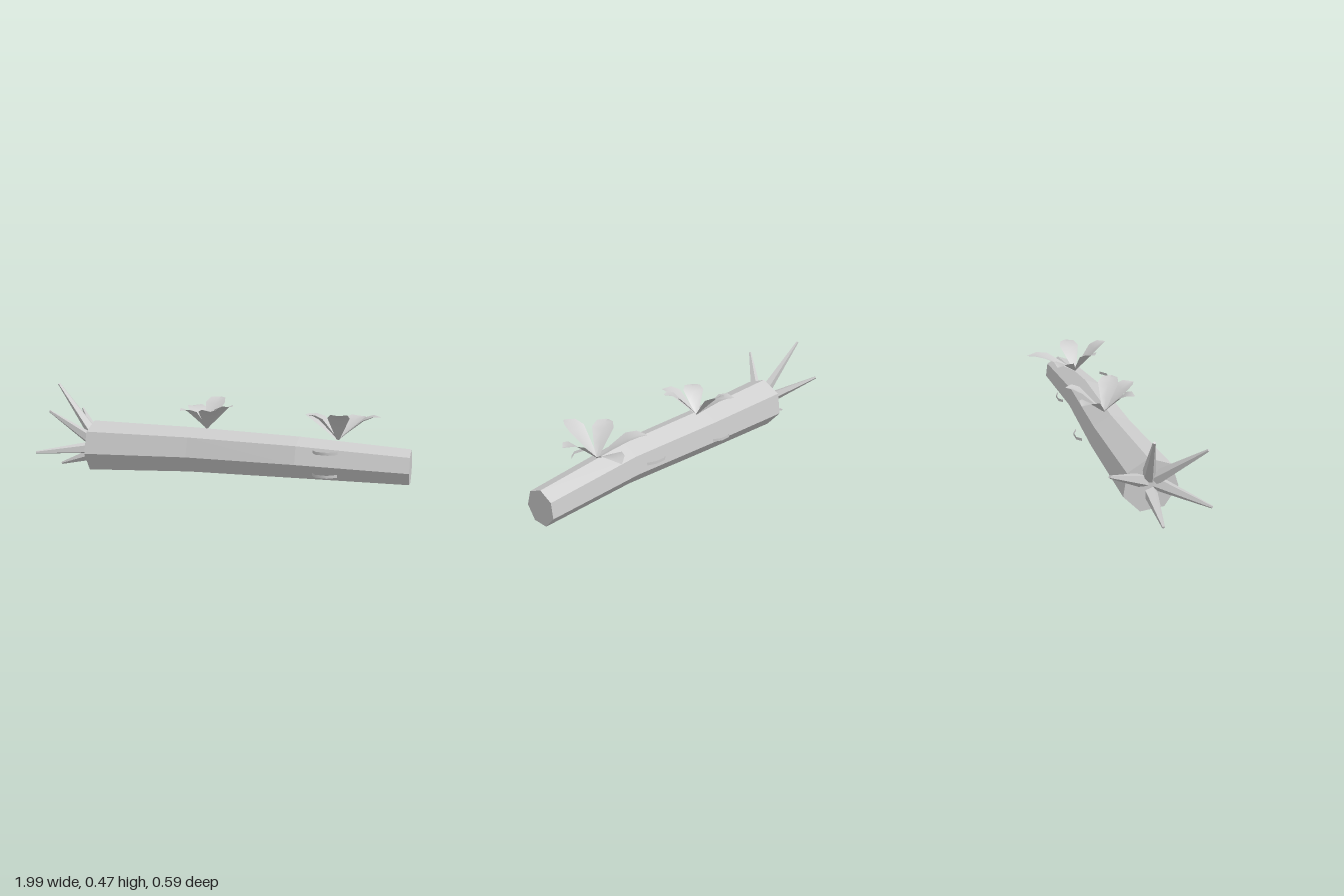
import * as THREE from 'three';

const bark = new THREE.MeshStandardMaterial({ color: 0xcccccc, flatShading: true });
bark.name = 'paleGrey';
const leaf = bark.clone();
leaf.name = 'paleGreyThin';
leaf.flatShading = false;
leaf.side = THREE.DoubleSide;

function meshFrom(name, positions, index, material) {
  const g = new THREE.BufferGeometry();
  g.setAttribute('position', new THREE.Float32BufferAttribute(positions, 3));
  g.setIndex(index);
  g.computeVertexNormals();
  const m = new THREE.Mesh(g, material);
  m.name = name;
  return m;
}

// Seven-sided bent trunk, lofted through [x, y, z, radius, end tilt]
function makeLog() {
  const sides = 7, p = [], idx = [];
  const rings = [
    [-0.745, 0.14, 0.065, 0.141, 0.06],
    [-0.17, 0.145, 0.022, 0.124, 0.03],
    [0.42, 0.14, 0.01, 0.112, 0.03],
    [0.993, 0.117, -0.047, 0.094, 0.05],
  ];
  for (const [x, y, z, r, tilt] of rings)
    for (let k = 0; k < sides; k++) {
      const a = THREE.MathUtils.degToRad(-8) + (k / sides) * Math.PI * 2;
      p.push(x + tilt * r * Math.cos(a), y + r * Math.sin(a), z + r * Math.cos(a));
    }
  const last = (rings.length - 1) * sides;
  for (let k = 0; k < sides; k++) {
    const n = (k + 1) % sides;
    for (let o = 0; o < last; o += sides)
      idx.push(o + k, o + sides + k, o + n, o + n, o + sides + k, o + sides + n);
  }
  for (let k = 1; k < sides - 1; k++)
    idx.push(0, k, k + 1, last, last + k + 1, last + k);
  return meshFrom('log', p, idx, bark);
}

// Blunt tapering root spike from the log's end to its tip
function makeRoot(tip) {
  const end = new THREE.Vector3(...tip);
  const out = new THREE.Vector3(0, tip[1] - 0.14, tip[2] - 0.065).normalize();
  const start = new THREE.Vector3(-0.73, 0.14, 0.065).addScaledVector(out, 0.04);
  const dir = end.clone().sub(start);
  const m = new THREE.Mesh(new THREE.CylinderGeometry(0.007, 0.036, dir.length(), 5), bark);
  m.position.copy(start).addScaledVector(dir, 0.5);
  m.quaternion.setFromUnitVectors(new THREE.Vector3(0, 1, 0), dir.normalize());
  m.name = 'root';
  return m;
}

// Pointed, arching, slightly cupped petal
function makePetal(base, tip) {
  const a = new THREE.Vector3(...base), b = new THREE.Vector3(...tip);
  const side = new THREE.Vector3(b.z - a.z, 0, a.x - b.x).normalize();
  const rows = [[0, 0.008, 0], [0.3, 0.032, 0.015], [0.6, 0.056, 0.028], [0.82, 0.042, 0.02], [1, 0.004, 0]];
  const p = [], idx = [];
  rows.forEach(([t, w, arch], i) => {
    for (let j = -1; j <= 1; j++) {
      const v = a.clone().lerp(b, t).addScaledVector(side, j * w);
      v.y += arch + Math.abs(j) * w * 0.2;
      p.push(v.x, v.y, v.z);
    }
    if (i < rows.length - 1)
      for (let j = 0; j < 2; j++) {
        const o = i * 3 + j;
        idx.push(o, o + 3, o + 1, o + 1, o + 3, o + 4);
      }
  });
  return meshFrom('petal', p, idx, leaf);
}

function makePlant(name, base, tips) {
  const g = new THREE.Group();
  g.name = name;
  for (const t of tips) g.add(makePetal(base, t));
  return g;
}

// Thin upright strip bent into an arc beside the log
function makeBracket(x, y, z, depth) {
  const path = [[-0.065, 0], [-0.04, 0.9], [0.02, 1], [0.065, 0.2]];
  const p = [], idx = [];
  path.forEach(([dx, d], i) => {
    p.push(x + dx, y - 0.0075, z + d * depth, x + dx, y + 0.0075, z + d * depth);
    if (i < path.length - 1) {
      const o = i * 2;
      idx.push(o, o + 2, o + 1, o + 1, o + 2, o + 3);
    }
  });
  return meshFrom('bracket', p, idx, leaf);
}

export function createModel() {
  const model = new THREE.Group();
  model.name = 'floweringLog';
  model.add(makeLog());

  const roots = new THREE.Group();
  roots.name = 'roots';
  for (const tip of [
    [-0.99, 0.472, 0.005], [-0.89, 0.362, 0.29], [-0.99, 0.127, 0.283],
    [-0.94, 0.305, -0.18], [-0.95, 0.027, 0.07],
  ]) roots.add(makeRoot(tip));
  model.add(roots);

  model.add(makePlant('middlePlant', [-0.1, 0.262, -0.01], [
    [-0.09, 0.41, -0.21], [0.07, 0.4, 0.07], [-0.015, 0.385, 0.17],
    [-0.2, 0.375, 0.13], [-0.24, 0.36, -0.155],
  ]));
  model.add(makePlant('endPlant', [0.62, 0.242, -0.02], [
    [0.7, 0.328, -0.295], [0.835, 0.37, -0.035], [0.66, 0.4, 0.175],
    [0.47, 0.38, 0.07], [0.41, 0.343, -0.16],
  ]));

  // Two brackets in front, two behind
  const brackets = new THREE.Group();
  brackets.name = 'brackets';
  brackets.add(
    makeBracket(0.587, 0.204, 0.132, 0.042), makeBracket(0.587, 0.087, 0.133, 0.046),
    makeBracket(0.35, 0.187, -0.158, -0.023), makeBracket(-0.14, 0.16, -0.151, -0.027),
  );
  model.add(brackets);
  return model;
}
